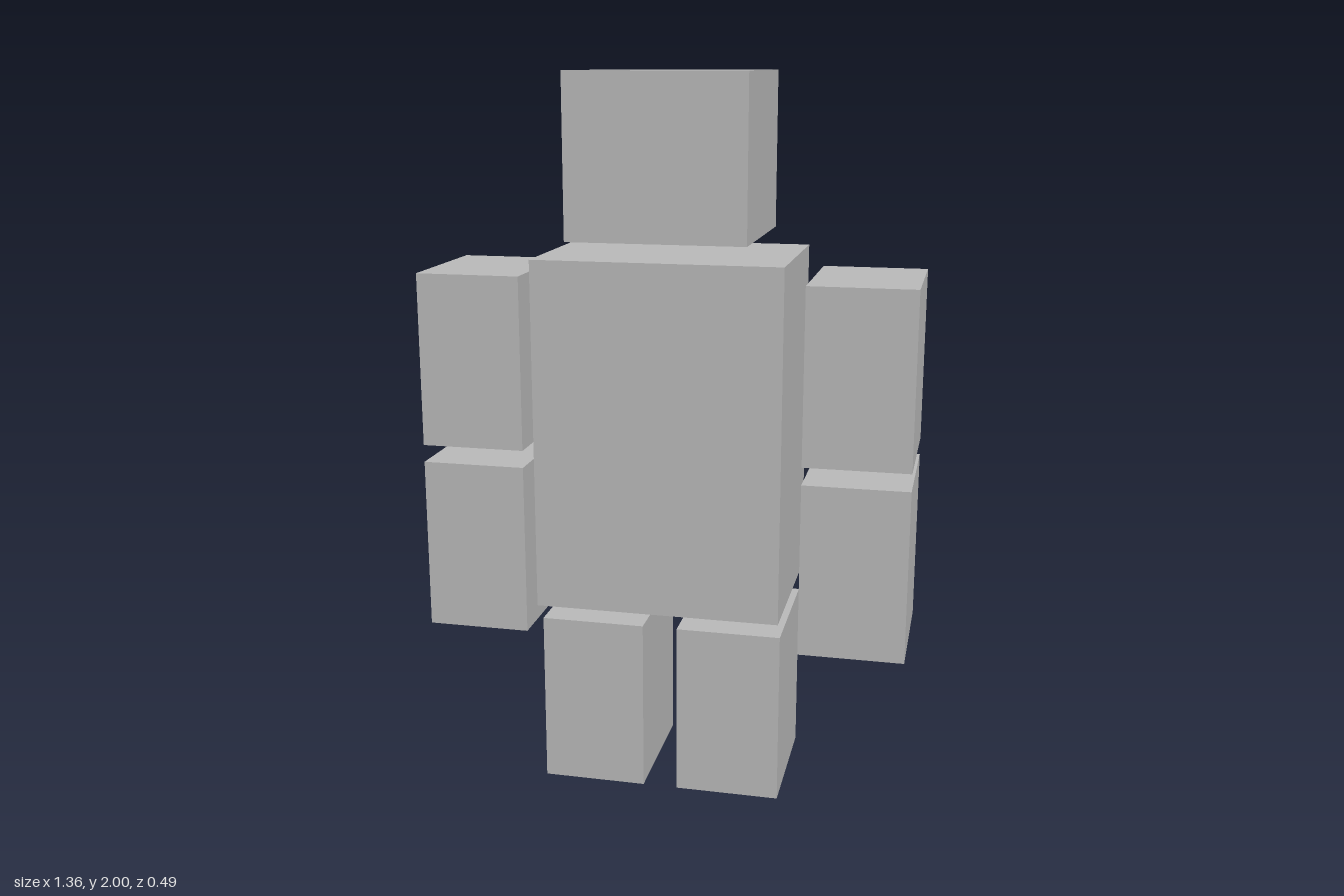
import * as THREE from 'three';

export function createModel() {
  const model = new THREE.Group();
  model.name = 'blockFigure';
  const grey = new THREE.MeshStandardMaterial({ color: 0xbbbbbb });
  grey.name = 'plain grey';

  // One block given its centre x, bottom, top, width and depth
  function block(name, x, bottom, top, width, depth) {
    const mesh = new THREE.Mesh(new THREE.BoxGeometry(width, top - bottom, depth), grey);
    mesh.name = name;
    mesh.position.set(x, (bottom + top) / 2, 0);
    model.add(mesh);
  }

  block('head', 0, 1.565, 2, 0.485, 0.485);
  block('torso', 0, 0.545, 1.516, 0.68, 0.485);

  // Mirrored limbs
  for (const [side, s] of [['left', 1], ['right', -1]]) {
    block(side + 'UpperArm', s * 0.534, 0.978, 1.463, 0.291, 0.388);
    block(side + 'Forearm', s * 0.534, 0.444, 0.929, 0.291, 0.388);
    block(side + 'Leg', s * 0.194, 0, 0.488, 0.291, 0.388);
  }
  return model;
}
